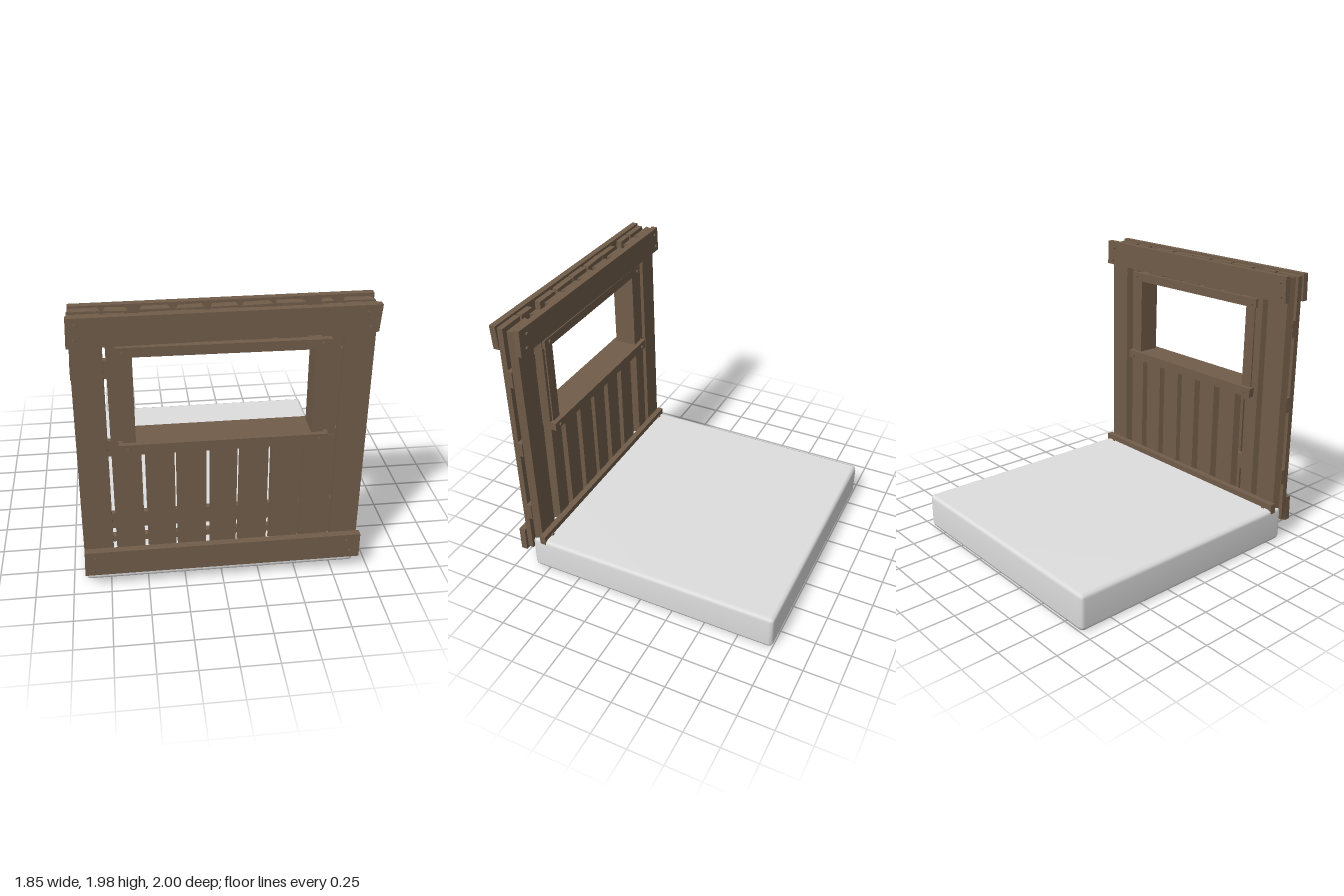
import * as THREE from 'three';
import { mergeVertices } from 'three/addons/utils/BufferGeometryUtils.js';
import { RoundedBoxGeometry } from 'three/addons/geometries/RoundedBoxGeometry.js';

export function createModel() {
  const model = new THREE.Group();
  const wood = new THREE.MeshStandardMaterial({ color: 0x715d49 });
  wood.name = 'brown wood';
  const stone = new THREE.MeshStandardMaterial({ color: 0xdedede });
  stone.name = 'pale floor';

  let seed = 7;
  const wobble = (s) => {
    seed = (seed * 16807) % 2147483647;
    return (seed / 2147483647 - 0.5) * 2 * s;
  };

  const add = (name, geometry, material = wood) => {
    const mesh = new THREE.Mesh(geometry, material);
    mesh.name = name;
    model.add(mesh);
    return mesh;
  };

  // Slightly crooked board; backInset narrows the rear face of rough planks
  const board = (name, x0, x1, y0, y1, z0, z1, jitter = 0.004, backInset = 0) => {
    const g = new THREE.BoxGeometry(1, 1, 1);
    const p = g.attributes.position;
    const off = Array.from({ length: 4 }, () => [wobble(jitter), wobble(jitter)]);
    for (let i = 0; i < p.count; i++) {
      const right = p.getX(i) > 0, top = p.getY(i) > 0, front = p.getZ(i) > 0;
      const o = off[(right ? 1 : 0) + (top ? 2 : 0)];
      const inset = front ? 0 : backInset * (right ? -1 : 1);
      p.setXYZ(i, (right ? x1 : x0) + o[0] + inset, (top ? y1 : y0) + o[1], front ? z1 : z0);
    }
    g.computeVertexNormals();
    return add(name, g);
  };

  // Floor slab with softened edges and blended normals
  let slab = new RoundedBoxGeometry(1.84, 0.26, 1.87, 1, 0.03);
  slab.deleteAttribute('normal');
  slab.deleteAttribute('uv');
  slab = mergeVertices(slab, 1e-4);
  slab.computeVertexNormals();
  add('floorSlab', slab, stone).position.set(0, 0.13, -0.065);

  // Vertical planks; those crossing the window are split in two
  const layer = (name, spans, y0, z0, z1, inset) => {
    for (const [a, b] of spans) {
      if (a < -0.65 && b > -0.56 || a < 0.56 && b > 0.6) {
        const left = a < 0;
        board(name, a, b, y0, 1.08, z0, z1, 0.004, inset);
        board(name, left ? a : Math.max(a, 0.58), left ? Math.min(b, -0.58) : b, 1.08, 1.96, z0, z1, 0.002, inset);
      } else if (Math.max(Math.abs(a), Math.abs(b)) < 0.6) {
        board(name, a, b, y0, 1.08, z0, z1, 0.004, inset);
        board(name, a, b, 1.74, 1.96, z0, z1, 0.004, inset);
      } else {
        board(name, a, b, y0, 1.96, z0, z1, 0.004, inset);
      }
    }
  };
  layer('frontPlank', [[-0.91, -0.72], [-0.70, -0.515], [-0.49, -0.31], [-0.30, -0.11], [-0.085, 0.085],
    [0.1, 0.285], [0.31, 0.495], [0.51, 0.7], [0.72, 0.905]], 0.14, 0.887, 0.928, 0);
  layer('backPlank', [[-0.91, -0.72], [-0.70, -0.56], [-0.495, -0.31], [-0.28, -0.11], [-0.08, 0.09],
    [0.105, 0.29], [0.31, 0.49], [0.51, 0.66], [0.715, 0.905]], 0.24, 0.8, 0.853, 0.015);

  // Cross battens between the two plank layers
  board('lowerBatten', -0.915, 0.915, 0.44, 0.555, 0.852, 0.888);
  board('middleBatten', -0.915, 0.915, 0.99, 1.1, 0.852, 0.888);
  for (const s of [-1, 1]) {
    board('upperBatten', Math.min(s * 0.915, s * 0.58), Math.max(s * 0.915, s * 0.58), 1.54, 1.66, 0.852, 0.888);
  }

  // Wide rails on both faces
  board('frontTopRail', -0.92, 0.91, 1.795, 1.97, 0.932, 0.975, 0.01);
  board('frontBottomRail', -0.915, 0.92, 0.13, 0.308, 0.928, 0.975);
  board('backTopRail', -0.915, 0.91, 1.795, 1.98, 0.757, 0.8, 0.01);
  board('backBottomRail', -0.92, 0.92, 0.235, 0.3, 0.757, 0.802);

  // Window frame running through the wall
  board('windowSill', -0.65, 0.645, 1.06, 1.128, 0.757, 0.985);
  board('windowHead', -0.65, 0.64, 1.707, 1.772, 0.778, 0.968, 0.006);
  board('windowJamb', -0.63, -0.548, 1.12, 1.72, 0.79, 0.955, 0.003);
  board('windowJamb', 0.54, 0.62, 1.12, 1.72, 0.79, 0.955, 0.003);

  // Nail heads: x, y, front z, back z
  const nails = [
    [-0.86, 1.93, 0.975, 0.757], [-0.875, 1.835, 0.975, 0.757], [0.84, 1.93, 0.975, 0.757], [0.855, 1.835, 0.975, 0.757],
    [-0.845, 0.26, 0.975, 0.757], [-0.86, 0.16, 0.975], [0.83, 0.265, 0.975, 0.757], [0.855, 0.18, 0.975],
    [-0.595, 1.09, 0.985, 0.757], [0.59, 1.09, 0.985, 0.757], [-0.605, 1.735, 0.968, 0.778], [0.585, 1.74, 0.968, 0.778],
  ];
  const nail = new THREE.CylinderGeometry(0.012, 0.012, 0.024, 8).rotateX(Math.PI / 2);
  for (const [x, y, ...depths] of nails) {
    for (const z of depths) add('nailHead', nail).position.set(x, y, z);
  }
  return model;
}
